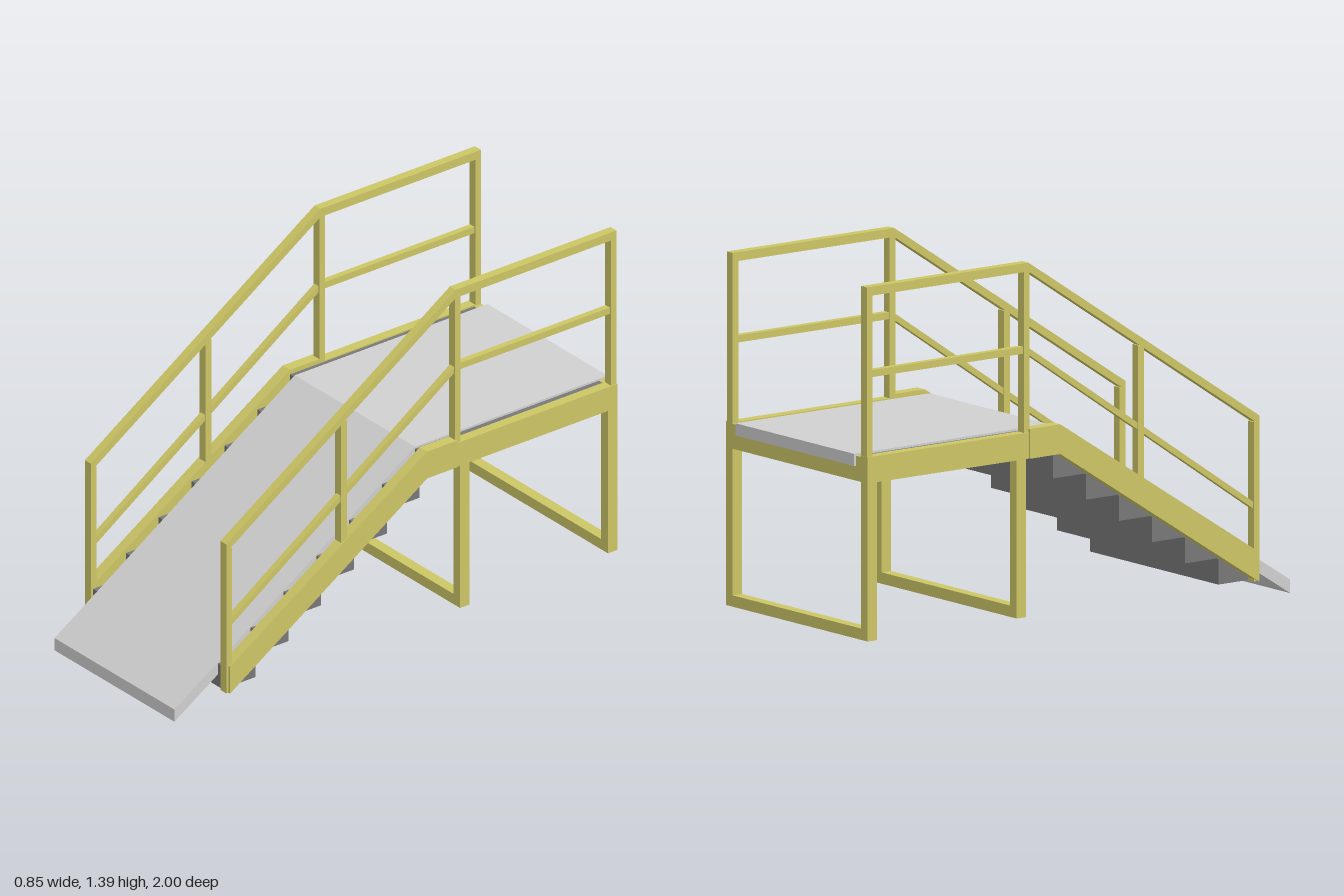
import * as THREE from 'three';

const yellow = new THREE.MeshStandardMaterial({ color: 0xcdc666 });
yellow.name = 'yellow paint';
const lightGrey = new THREE.MeshStandardMaterial({ color: 0xd0d0d0 });
lightGrey.name = 'light grey deck';
const darkGrey = new THREE.MeshStandardMaterial({ color: 0x787878 });
darkGrey.name = 'dark grey steps';

// Box given by its limits on each axis
function box(name, mat, x0, x1, y0, y1, z0, z1) {
  const mesh = new THREE.Mesh(new THREE.BoxGeometry(x1 - x0, y1 - y0, z1 - z0), mat);
  mesh.position.set((x0 + x1) / 2, (y0 + y1) / 2, (z0 + z1) / 2);
  mesh.name = name;
  return mesh;
}

// Side profile of [z, y] points, extruded from x0 to x1
function profile(name, mat, x0, x1, points) {
  const shape = new THREE.Shape(points.map(([z, y]) => new THREE.Vector2(z, y)));
  const geo = new THREE.ExtrudeGeometry(shape, { depth: x1 - x0, bevelEnabled: false });
  geo.rotateY(-Math.PI / 2).translate(x1, 0, 0);
  const mesh = new THREE.Mesh(geo, mat);
  mesh.name = name;
  return mesh;
}

// Bent bar: top edge through the points, lower edge dropped straight down
function bar(name, mat, x0, x1, top, drop) {
  const bottom = top.map(([z, y]) => [z, y - drop]).reverse();
  return profile(name, mat, x0, x1, [...top, ...bottom]);
}

// One side: stringer, platform beam, posts and rails
function createSide(side) {
  const group = new THREE.Group();
  group.name = side > 0 ? 'leftSide' : 'rightSide';
  const span = (a, b) => (side > 0 ? [a, b] : [-b, -a]);
  const [r0, r1] = span(0.38, 0.415);
  const [s0, s1] = span(0.38, 0.424);

  group.add(profile('stringer', yellow, s0, s1, [
    [0.8, 0.08], [0.8, 0.19], [-0.11, 0.775], [-0.25, 0.775], [-0.25, 0.665], [-0.11, 0.665],
  ]));
  group.add(box('platformBeam', yellow, ...span(0.38, 0.42), 0.665, 0.762, -0.992, -0.25));

  // Posts: front z, bottom, top
  for (const [z, y0, y1] of [[0.81, 0.08, 0.67], [0.28, 0.45, 1.02], [-0.245, 0.72, 1.37], [-0.965, 0.72, 1.37]]) {
    group.add(box('railPost', yellow, r0, r1, y0, y1, z - 0.026, z));
  }
  group.add(bar('topRail', yellow, r0, r1, [[0.81, 0.692], [-0.25, 1.39], [-0.991, 1.39]], 0.033));
  const [m0, m1] = span(0.385, 0.41);
  group.add(bar('middleRail', yellow, m0, m1, [[0.8, 0.365], [-0.255, 1.08], [-0.98, 1.08]], 0.026));
  return group;
}

export function createModel() {
  const model = new THREE.Group();
  model.name = 'platformWithRamp';

  // Ramp and deck
  model.add(bar('ramp', lightGrey, -0.352, 0.352, [[1, 0.05], [-0.11, 0.765]], 0.05));
  model.add(box('deck', lightGrey, -0.352, 0.352, 0.72, 0.765, -1, -0.11));

  // Steps under the ramp and the panel under the deck
  const run = 0.91 / 6, rise = 0.0975;
  for (let i = 0; i < 6; i++) {
    const z = 0.8 - i * run, y = 0.08 + i * rise;
    model.add(box('step', darkGrey, -0.38, 0.38, y, y + rise - 0.003, z - run, z));
  }
  model.add(box('platformPanel', darkGrey, -0.38, 0.38, 0.667, 0.757, -0.96, -0.11));
  model.add(box('rearBeam', yellow, -0.38, 0.38, 0.665, 0.757, -0.992, -0.96));

  // Leg frames: two legs joined by a floor bar
  for (const z of [-0.265, -0.948]) {
    const frame = new THREE.Group();
    frame.name = 'legFrame';
    for (const x of [-0.4, 0.4]) {
      frame.add(box('leg', yellow, x - 0.02, x + 0.02, 0.08, 0.665, z - 0.043, z));
    }
    frame.add(box('floorBar', yellow, -0.38, 0.38, 0.08, 0.122, z - 0.043, z));
    model.add(frame);
  }

  model.add(createSide(1), createSide(-1));
  return model;
}
